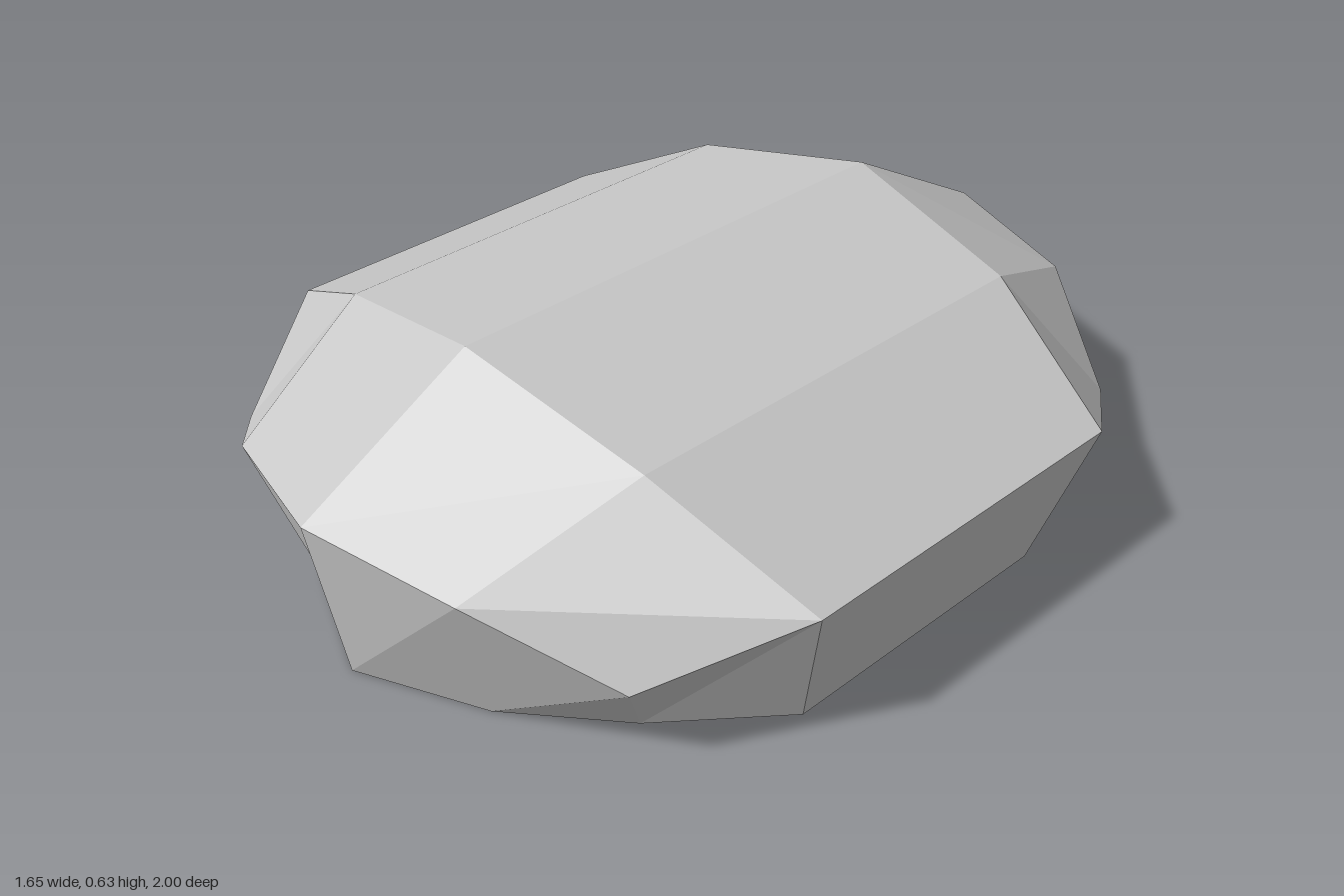
import * as THREE from 'three';

// Mirrors a quarter outline (front centre to side) into a closed 14-point ring
function ring(q) {
  const half = [...q, ...q.slice(1).reverse().map(([x, y, z]) => [x, y, -z])];
  return [...half, ...half.map(([x, y, z]) => [-x, y, -z])];
}

// Builds a mesh from flat polygons, each split into a fan of triangles
function facetMesh(name, polygons, material) {
  const positions = [];
  for (const p of polygons) {
    for (let i = 1; i < p.length - 1; i++) positions.push(...p[0], ...p[i], ...p[i + 1]);
  }
  const geometry = new THREE.BufferGeometry();
  geometry.setAttribute('position', new THREE.Float32BufferAttribute(positions, 3));
  geometry.computeVertexNormals();
  const mesh = new THREE.Mesh(geometry, material);
  mesh.name = name;
  return mesh;
}

// Joins two rings with quads, leaving out collapsed ones
function band(lower, upper) {
  return lower.map((p, i) => {
    const j = (i + 1) % lower.length;
    return [p, lower[j], upper[j], upper[i]];
  });
}

export function createModel() {
  const group = new THREE.Group();
  group.name = 'facetedStone';
  const stone = new THREE.MeshStandardMaterial({ color: 0xc8c8c8 });
  stone.name = 'stone grey';
  stone.flatShading = true;

  const eave = [0.825, 0.35, 0.435];
  const base = ring([[0, 0, 0.93], [0.29, 0, 0.8], [0.52, 0, 0.61], [0.725, 0, 0.36]]);
  const rim = ring([[0, 0.405, 1], [0.355, 0.37, 0.91], [0.63, 0.225, 0.735], eave]);
  const crown = ring([[0, 0.632, 0.587], [0.46, 0.535, 0.535], eave, eave]);

  // Flaring side walls and the flat underside
  group.add(facetMesh('walls', band(base, rim), stone));
  group.add(facetMesh('underside', [[...base].reverse()], stone));

  // Sloping end facets; the eave sides (2-5, 9-12) collapse and are skipped
  const slopes = band(rim, crown).filter((_, i) => ![2, 3, 4].includes(i % 7));
  group.add(facetMesh('endSlopes', slopes, stone));

  // Four long roof strips running front to back
  const strips = [[0, 1, 6, 7], [1, 3, 4, 6], [7, 8, 13, 0], [8, 10, 11, 13]];
  group.add(facetMesh('roof', strips.map((s) => s.map((i) => crown[i])), stone));
  return group;
}
